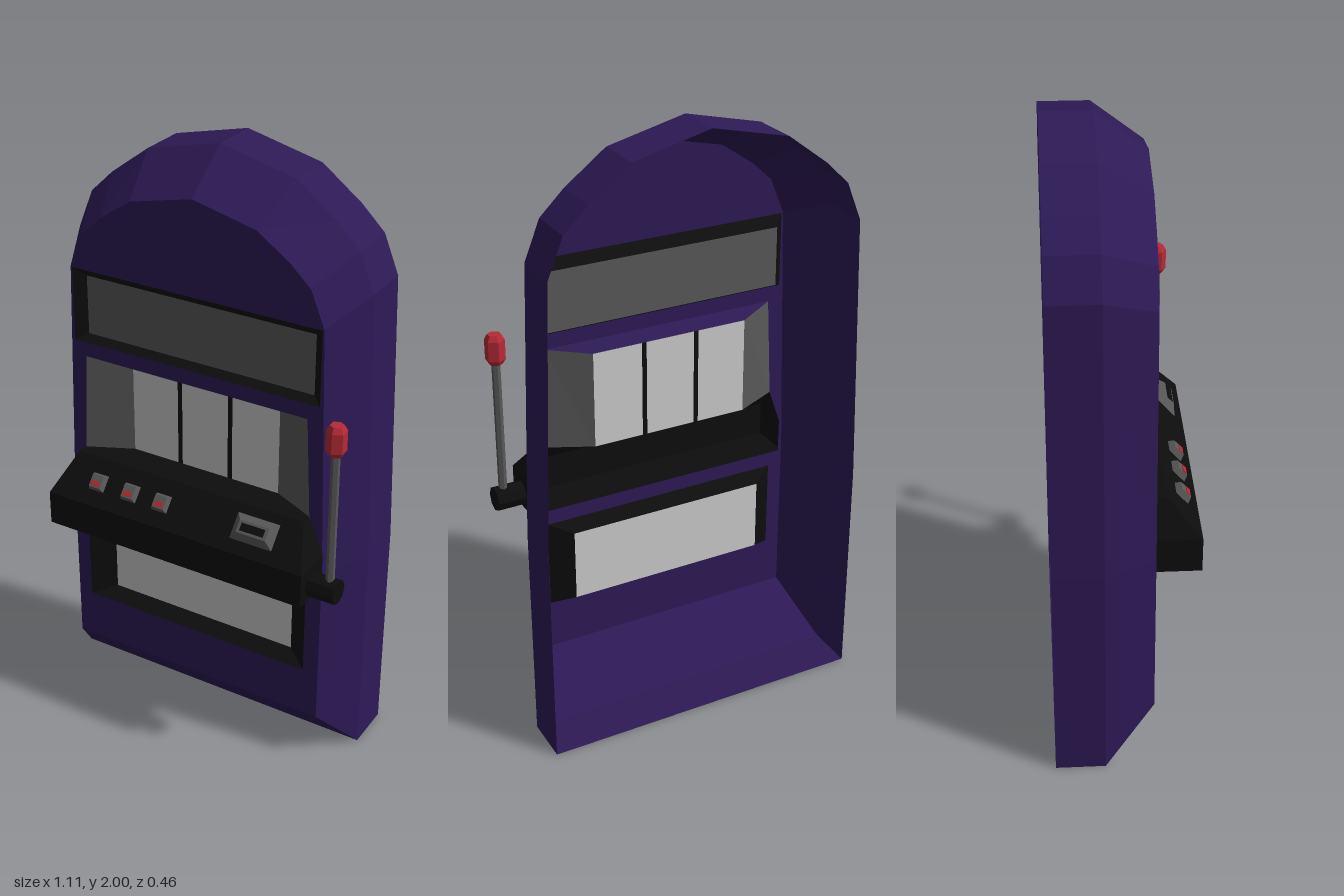
import * as THREE from 'three';

const CX = -0.008; // cabinet centre line
const FRONT = 0.09; // front panel depth

const mat = (color) => new THREE.MeshStandardMaterial({ color, side: THREE.DoubleSide, flatShading: true });
const purple = mat(0x2d1a56), black = mat(0x0d0d0d), dark = mat(0x585858), red = mat(0xb52a36), grey = mat(0xcccccc);

function add(parent, name, geometry, material, x = 0, y = 0, z = 0) {
  const mesh = new THREE.Mesh(geometry, material);
  mesh.name = name;
  mesh.position.set(x, y, z);
  parent.add(mesh);
  return mesh;
}

// Flat-faced surface through rows of [x, y, z] points
function loft(rows, closed = false) {
  const out = [];
  for (let r = 0; r + 1 < rows.length; r++) {
    const a = rows[r], b = rows[r + 1], n = a.length;
    for (let i = 0; i < (closed ? n : n - 1); i++) {
      const j = (i + 1) % n;
      out.push(...a[i], ...a[j], ...b[j], ...a[i], ...b[j], ...b[i]);
    }
  }
  const g = new THREE.BufferGeometry();
  g.setAttribute('position', new THREE.Float32BufferAttribute(out, 3));
  g.computeVertexNormals();
  return g;
}

// Half outline (right side, bottom to top) mirrored into a full loop
function mirrored(half) {
  const right = half.map(([x, y]) => [CX + x, y]);
  const left = half.filter(([x]) => x > 0).reverse().map(([x, y]) => [CX - x, y]);
  return [...right, ...left];
}
const atZ = (pts, z) => pts.map(([x, y]) => [x, y, z]);
const rect = (x0, x1, y0, y1) => [[x0, y0], [x1, y0], [x1, y1], [x0, y1]];
const vecs = (pts) => pts.map(([x, y]) => new THREE.Vector2(x, y));

// Window with sloping frame and a screen set back from the front
function framedScreen(parent, name, outer, inner, z) {
  add(parent, name + 'Frame', loft([atZ(outer, FRONT), atZ(inner, z)], true), black);
  add(parent, name + 'Screen', new THREE.ShapeGeometry(new THREE.Shape(vecs(inner))), name === 'upper' ? dark : grey, 0, 0, z);
}

// Four-sided block narrowing towards the top, standing on y = 0
function taperedBlock(w, d, h, inset) {
  const ring = (a, b, y) => [[-a, y, -b], [a, y, -b], [a, y, b], [-a, y, b]];
  const a = w / 2, b = d / 2;
  return loft([ring(a, b, 0), ring(a - inset, b - inset, h)], true);
}

export function createModel() {
  const model = new THREE.Group();
  model.name = 'slotMachine';

  // Hollow cabinet shell, open at the back
  const outer = mirrored([[0.548, 0], [0.548, 0.75], [0.516, 1.64], [0.465, 1.765], [0.387, 1.84], [0.253, 1.94], [0, 2]]);
  const inner = mirrored([[0.467, 0.18], [0.467, 0.75], [0.442, 1.575], [0.395, 1.69], [0.325, 1.755], [0.215, 1.83], [0, 1.88]]);
  add(model, 'cabinetShell', loft([atZ(outer, -0.23), atZ(outer, -0.07), atZ(inner, FRONT)], true), purple);

  // Front panel with openings for the windows and the console
  const upper = rect(-0.445, 0.429, 1.325, 1.572);
  const lower = rect(-0.425, 0.405, 0.352, 0.655);
  const middle = [[-0.463, 0.705], [0.447, 0.705], [0.447, 0.82], [0.408, 0.94], [0.39, 1.275], [-0.405, 1.275], [-0.422, 0.94], [-0.463, 0.82]];
  const panel = new THREE.Shape(vecs(inner));
  [upper, lower, middle].forEach((h) => panel.holes.push(new THREE.Path(vecs(h))));
  add(model, 'frontPanel', new THREE.ShapeGeometry(panel), purple, 0, 0, FRONT);

  framedScreen(model, 'upper', upper, rect(-0.412, 0.395, 1.342, 1.54), 0.06);
  framedScreen(model, 'lower', lower, rect(-0.35, 0.333, 0.382, 0.628), 0.04);

  // Reel recess
  const back = 0.02, rl = -0.275, rr = 0.26, top = 1.262, base = 0.94;
  const tl = [-0.405, 1.275, FRONT], tr = [0.39, 1.275, FRONT], bl = [-0.422, base, FRONT], br = [0.408, base, FRONT];
  const itl = [rl, top, back], itr = [rr, top, back], ibl = [rl, base, back], ibr = [rr, base, back];
  add(model, 'recessTop', loft([[tl, tr], [itl, itr]]), purple);
  add(model, 'recessLeftWall', loft([[tr, br], [itr, ibr]]), dark);
  add(model, 'recessRightWall', loft([[bl, tl], [ibl, itl]]), dark);
  add(model, 'recessFloor', loft([[ibl, ibr], [bl, br]]), black);
  const gap = 0.016, reelW = (rr - rl - 2 * gap) / 3;
  for (let i = 0; i < 3; i++) {
    const x = rl + reelW / 2 + i * (reelW + gap);
    add(model, 'reel', new THREE.PlaneGeometry(reelW, top - base), grey, x, (top + base) / 2, back);
    if (i < 2) add(model, 'reelDivider', new THREE.PlaneGeometry(gap, top - base), black, x + (reelW + gap) / 2, (top + base) / 2, back);
  }

  // Console, hollow from behind
  const row = (w, y, z) => [[CX - w, y, z], [CX + w, y, z]];
  const rim = (z, zt) => {
    const [a, b] = row(0.467, 0.705, z), [c, d] = row(0.467, 0.82, z), [e, f] = row(0.415, base, zt);
    return [a, b, d, f, e, c];
  };
  add(model, 'consoleSides', loft([rim(FRONT, FRONT), rim(0.23, 0.125)], true), black);
  add(model, 'consoleFront', loft([row(0.467, 0.705, 0.23), row(0.467, 0.82, 0.23), row(0.415, base, 0.125)]), black);

  // Controls lying on the console slope
  const slope = new THREE.Group();
  slope.name = 'controls';
  slope.position.set(0, 0.88, 0.1775);
  slope.rotation.x = Math.atan2(0.12, 0.105);
  model.add(slope);
  for (const x of [-0.313, -0.19, -0.072]) {
    add(slope, 'buttonBase', taperedBlock(0.056, 0.056, 0.018, 0.007), dark, x, 0, 0);
    add(slope, 'buttonTop', new THREE.BoxGeometry(0.042, 0.004, 0.042), dark, x, 0.017, 0);
    add(slope, 'buttonCap', new THREE.BoxGeometry(0.032, 0.006, 0.016), red, x, 0.019, 0.008);
  }
  add(slope, 'slotBezel', taperedBlock(0.148, 0.085, 0.02, 0.022), dark, 0.265, 0, -0.006);
  add(slope, 'slotPlate', new THREE.BoxGeometry(0.104, 0.004, 0.041), dark, 0.265, 0.018, -0.006);
  add(slope, 'slotOpening', new THREE.BoxGeometry(0.082, 0.004, 0.025), black, 0.265, 0.0205, -0.006);

  // Side lever
  const lever = new THREE.Group();
  lever.name = 'lever';
  lever.position.set(0.523, 0.755, 0.162);
  model.add(lever);
  add(lever, 'leverPivot', new THREE.CylinderGeometry(0.04, 0.04, 0.105, 8), black, -0.022, 0, 0).rotation.z = Math.PI / 2;
  add(lever, 'leverRod', new THREE.CylinderGeometry(0.014, 0.014, 0.47, 6), dark, 0, 0.25, 0);
  const knob = vecs([[0, 0.474], [0.022, 0.474], [0.032, 0.49], [0.032, 0.555], [0.022, 0.573], [0, 0.573]]);
  add(lever, 'leverKnob', new THREE.LatheGeometry(knob, 6), red);

  return model;
}
